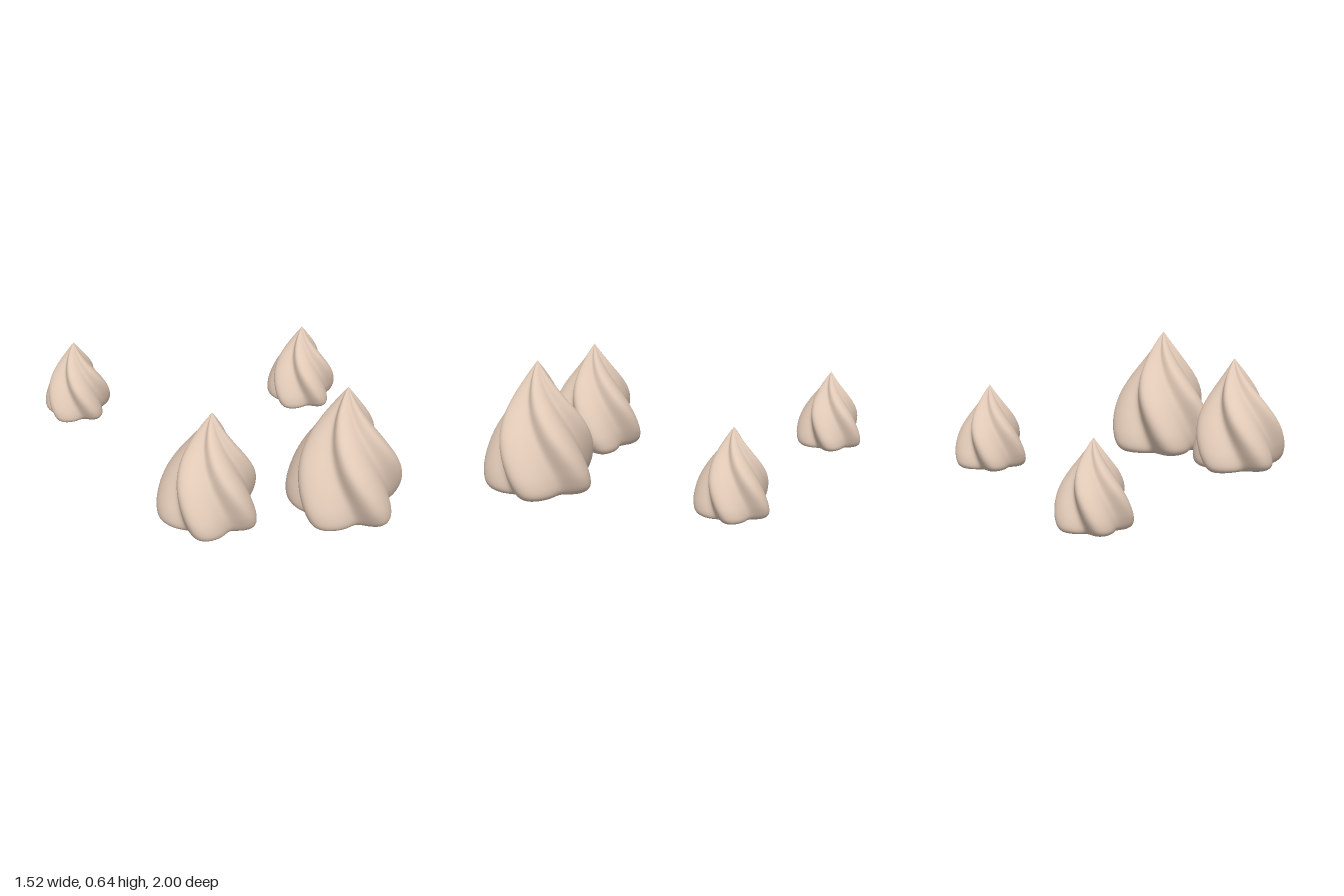
import * as THREE from 'three';
import { mergeVertices } from 'three/addons/utils/BufferGeometryUtils.js';

const LOBES = 5;
const HEIGHT = 0.64;
const rad = THREE.MathUtils.degToRad;

// Ridge profile of one meringue, [radius, height] from base centre to tip
const PROFILE = [
  [0, 0.004], [0.12, 0.002], [0.215, 0], [0.25, 0.01], [0.272, 0.035], [0.281, 0.075],
  [0.28, 0.13], [0.265, 0.21], [0.235, 0.295], [0.185, 0.385], [0.125, 0.47],
  [0.07, 0.545], [0.03, 0.6], [0, HEIGHT],
];

// Revolved profile, pinched into five lobes that twist toward the tip
function swirlGeometry() {
  const curve = new THREE.SplineCurve(PROFILE.map(([r, y]) => new THREE.Vector2(r, y)));
  const points = curve.getPoints(80);
  points.forEach((p) => { p.x = Math.max(p.x, 0); });
  let geometry = new THREE.LatheGeometry(points, 120);
  geometry.deleteAttribute('uv');
  geometry.deleteAttribute('normal');

  const pos = geometry.attributes.position;
  for (let i = 0; i < pos.count; i++) {
    const x = pos.getX(i), y = pos.getY(i), z = pos.getZ(i);
    const s = y / HEIGHT;
    const ridge = rad(15 + 72 * s + 20 * s * s);
    const p = LOBES * (Math.atan2(z, x) - ridge);
    // Each lobe is a little steeper on one side than on the other
    const wave = Math.cos(p + 0.3 * (1 - Math.cos(p)));
    const k = 0.87 + 0.13 * wave;
    pos.setXYZ(i, x * k, y, z * k);
  }
  geometry = mergeVertices(geometry, 1e-5);
  geometry.computeVertexNormals();
  return geometry;
}

export function createModel() {
  const group = new THREE.Group();
  group.name = 'meringues';
  const geometry = swirlGeometry();
  const material = new THREE.MeshStandardMaterial({ color: 0xe3cbb8 });

  // Four meringues: position, scale, turn and tilt in degrees
  const pieces = [
    { name: 'largeMeringue', at: [0.015, 0.003, 0.715], size: 1, turn: 0, tilt: 0 },
    { name: 'mediumMeringue', at: [-0.555, 0.035, 0.4], size: 0.86, turn: 23, tilt: -3 },
    { name: 'smallMeringueLeft', at: [0.58, 0.028, -0.145], size: 0.652, turn: 0, tilt: 0 },
    { name: 'smallMeringueRight', at: [-0.39, 0.02, -0.845], size: 0.625, turn: 3, tilt: 0 },
  ];
  for (const { name, at, size, turn, tilt } of pieces) {
    const mesh = new THREE.Mesh(geometry, material);
    mesh.name = name;
    mesh.position.set(...at);
    mesh.scale.setScalar(size);
    mesh.rotation.set(0, rad(turn), rad(tilt), 'ZYX');
    group.add(mesh);
  }
  return group;
}
